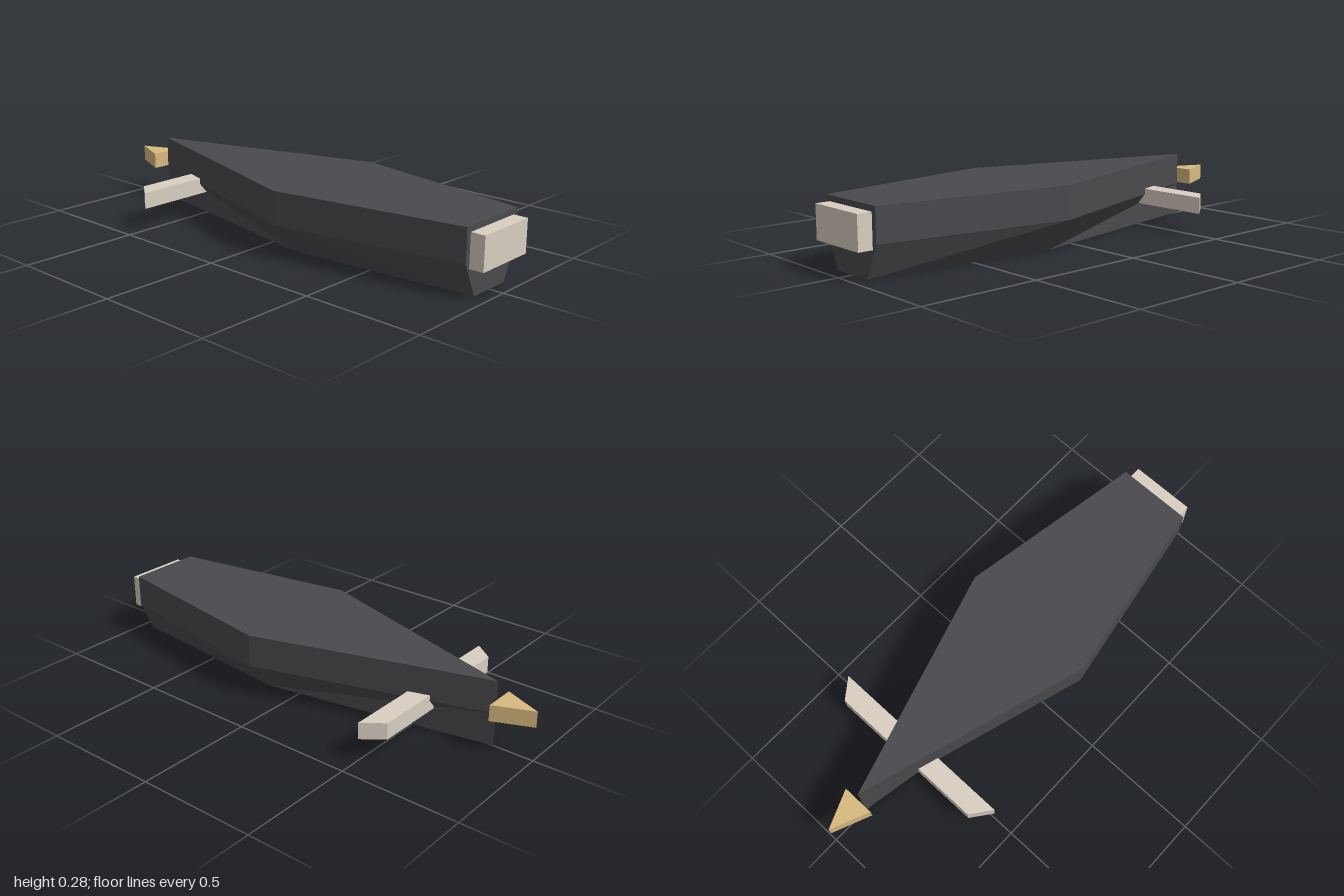
import * as THREE from 'three';

const mat = (name, color) => {
  const m = new THREE.MeshStandardMaterial({ color });
  m.name = name;
  return m;
};

// Horizontal slab: outline in [x, z], between heights y0 and y1
function slab(outline, y0, y1) {
  const shape = new THREE.Shape(outline.map(([x, z]) => new THREE.Vector2(x, -z)));
  const geo = new THREE.ExtrudeGeometry(shape, { depth: y1 - y0, bevelEnabled: false });
  return geo.rotateX(-Math.PI / 2).translate(0, y0, 0);
}

// Hull lofted from cross-sections [z, upper half width, keel half width]
function hullGeometry() {
  const top = 0.275, chine = 0.138;
  const rings = [[0.94, 0.16, 0.097], [0.14, 0.296, 0.178], [-0.83, 0, 0]].map(([z, w, k]) => [
    [w, top, z], [w, chine, z], [k, 0, z], [-k, 0, z], [-w, chine, z], [-w, top, z],
  ]);
  const pos = [];
  const tri = (a, b, c) => pos.push(...a, ...b, ...c);
  for (let s = 0; s < 2; s++) {
    for (let i = 0; i < 6; i++) {
      const j = (i + 1) % 6, a = rings[s], b = rings[s + 1];
      // mirror the diagonal so both sides match
      if (i < 3) {
        tri(a[i], a[j], b[i]);
        tri(a[j], b[j], b[i]);
      } else {
        tri(a[i], a[j], b[j]);
        tri(a[i], b[j], b[i]);
      }
    }
  }
  // front transom
  const f = rings[0];
  for (let i = 1; i < 5; i++) tri(f[0], f[i + 1], f[i]);
  const geo = new THREE.BufferGeometry();
  geo.setAttribute('position', new THREE.Float32BufferAttribute(pos, 3));
  // drop zero-area triangles and orient the rest outward
  const out = [], c = new THREE.Vector3(0, 0.15, 0.1);
  for (let i = 0; i < pos.length; i += 9) {
    const [p, q, r] = [0, 3, 6].map((k) => new THREE.Vector3().fromArray(pos, i + k));
    const n = q.clone().sub(p).cross(r.clone().sub(p));
    if (n.length() < 1e-7) continue;
    const order = n.dot(p.clone().sub(c)) > 0 ? [p, q, r] : [p, r, q];
    order.forEach((v) => out.push(v.x, v.y, v.z));
  }
  geo.setAttribute('position', new THREE.Float32BufferAttribute(out, 3));
  geo.computeVertexNormals();
  return geo;
}

export function createModel() {
  const group = new THREE.Group();
  const dark = mat('charcoal', 0x4a4a4e);
  const bone = mat('bone', 0xd9cfc2);
  const gold = mat('gold', 0xd8ba80);
  const add = (name, geo, material) => {
    const mesh = new THREE.Mesh(geo, material);
    mesh.name = name;
    group.add(mesh);
  };

  add('hull', hullGeometry(), dark);

  // Block on the transom
  add('frontBlock', new THREE.BoxGeometry(0.275, 0.137, 0.06).translate(0, 0.1835, 0.97), bone);

  // Cross fin with swept tips
  add('crossFin', slab([[-0.41, -0.5], [0.41, -0.5], [0.345, -0.585], [-0.345, -0.585]], 0.093, 0.162), bone);

  // Pointed wedge behind the hull
  add('tailWedge', slab([[-0.068, -0.84], [0.068, -0.84], [0, -1]], 0.141, 0.208), gold);

  return group;
}
